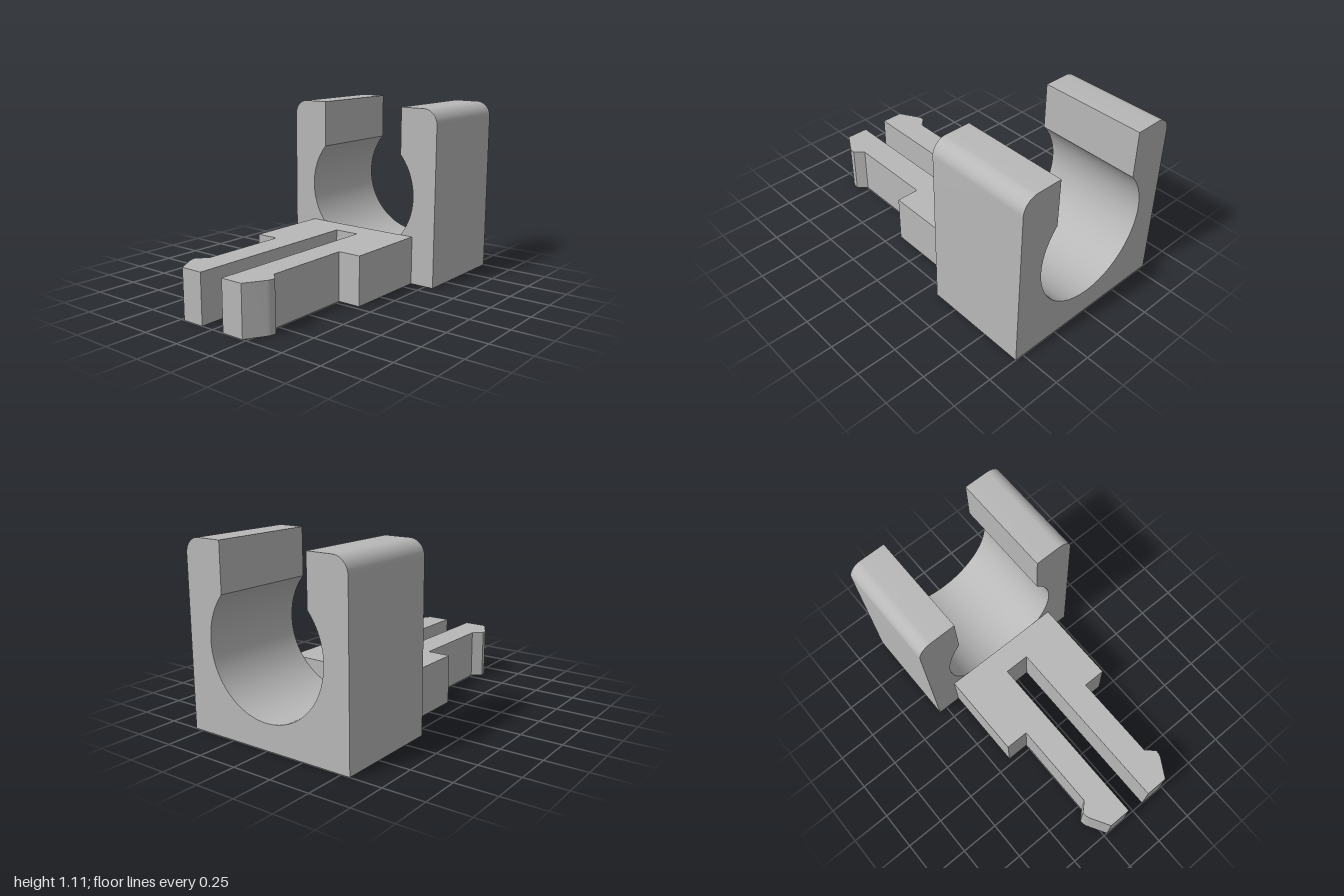
import * as THREE from 'three';
import { toCreasedNormals } from 'three/addons/utils/BufferGeometryUtils.js';

const grey = new THREE.MeshStandardMaterial({ color: 0xb8b8b8 });
grey.name = 'grey plastic';

function extrude(shape, depth) {
  return new THREE.ExtrudeGeometry(shape, { depth, bevelEnabled: false, curveSegments: 40 });
}

function part(name, geometry) {
  const mesh = new THREE.Mesh(toCreasedNormals(geometry, 0.4), grey);
  mesh.name = name;
  return mesh;
}

// Open pipe clip: block with rounded top corners, a round bore and a mouth
function clipGeometry() {
  const w = 0.555, h = 1.112, r = 0.095, mouth = 0.3, bore = 0.398, cy = 0.556;
  const a = Math.acos(mouth / bore);
  const s = new THREE.Shape();
  s.moveTo(-w, 0);
  s.lineTo(w, 0);
  s.lineTo(w, h - r);
  s.absarc(w - r, h - r, r, 0, Math.PI / 2, false);
  s.lineTo(mouth, h);
  s.absarc(0, cy, bore, a, Math.PI - a, true);
  s.lineTo(-mouth, h);
  s.absarc(-w + r, h - r, r, Math.PI / 2, Math.PI, false);
  s.closePath();
  return extrude(s, 0.665).translate(0, 0, -1);
}

// Forked tongue with two barbed prongs, drawn in plan as (x, -z)
function tongueGeometry() {
  const barb = new THREE.QuadraticBezierCurve(
    new THREE.Vector2(0.305, 0.84), new THREE.Vector2(0.305, 0.863), new THREE.Vector2(0.293, 0.884));
  const half = [
    [0.397, -0.335], [0.397, 0.217], [0.25, 0.217], [0.25, 0.778], [0.305, 0.83],
    ...barb.getPoints(6).map(p => [p.x, p.y]),
    [0.225, 1], [0.081, 1], [0.081, -0.18],
  ];
  const mirrored = half.map(([x, z]) => [-x, z]).reverse();
  const s = new THREE.Shape([...half, ...mirrored].map(([x, z]) => new THREE.Vector2(x, -z)));
  return extrude(s, 0.306).rotateX(-Math.PI / 2);
}

export function createModel() {
  const model = new THREE.Group();
  model.name = 'snapInPipeClip';
  model.add(part('pipeClip', clipGeometry()), part('forkedTongue', tongueGeometry()));
  return model;
}
